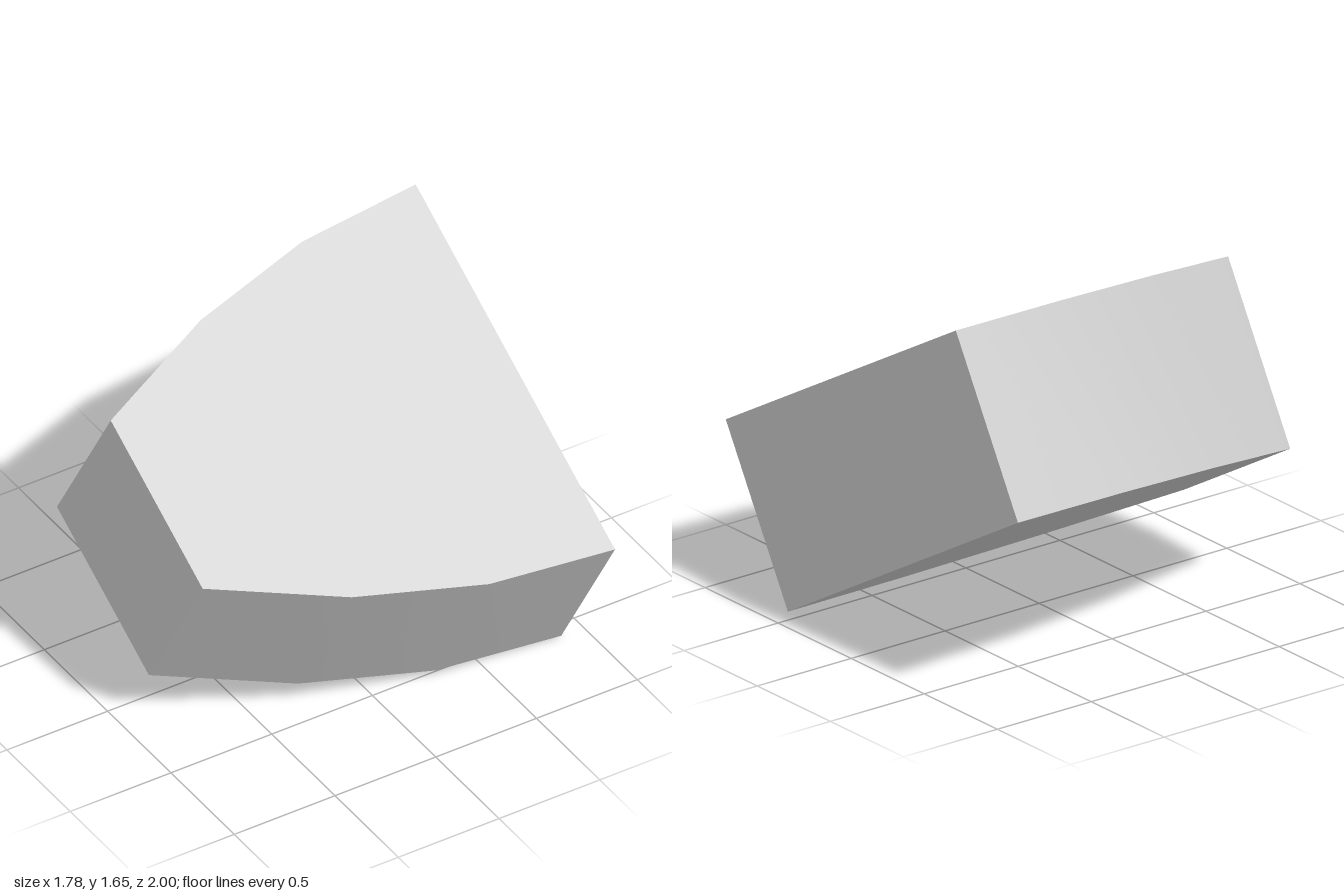
import * as THREE from 'three';
import { toCreasedNormals } from 'three/addons/utils/BufferGeometryUtils.js';

export function createModel() {
  const group = new THREE.Group();
  const depth = 0.85;

  // Half outline of the slab: [x, half length], mirrored for the other edge
  const half = [[-0.89, 0.419], [-0.297, 0.69], [0.297, 0.853], [0.89, 0.909]];
  const outline = [
    ...half.map(([x, s]) => new THREE.Vector2(x, -s)),
    ...half.map(([x, s]) => new THREE.Vector2(x, s)).reverse(),
  ];

  // Tapered slab with softly curved ends
  const geometry = new THREE.ExtrudeGeometry(new THREE.Shape(outline), { depth, bevelEnabled: false });
  geometry.translate(0, 0, -depth / 2);
  const slab = new THREE.Mesh(
    toCreasedNormals(geometry, Math.PI / 6),
    new THREE.MeshStandardMaterial({ color: 0xcccccc })
  );
  slab.name = 'taperedSlab';

  // Tilted 30 degrees, rising to the back, resting on its lower front edge
  slab.rotation.x = -Math.PI / 3;
  slab.position.y = 0.823;
  group.add(slab);
  return group;
}
